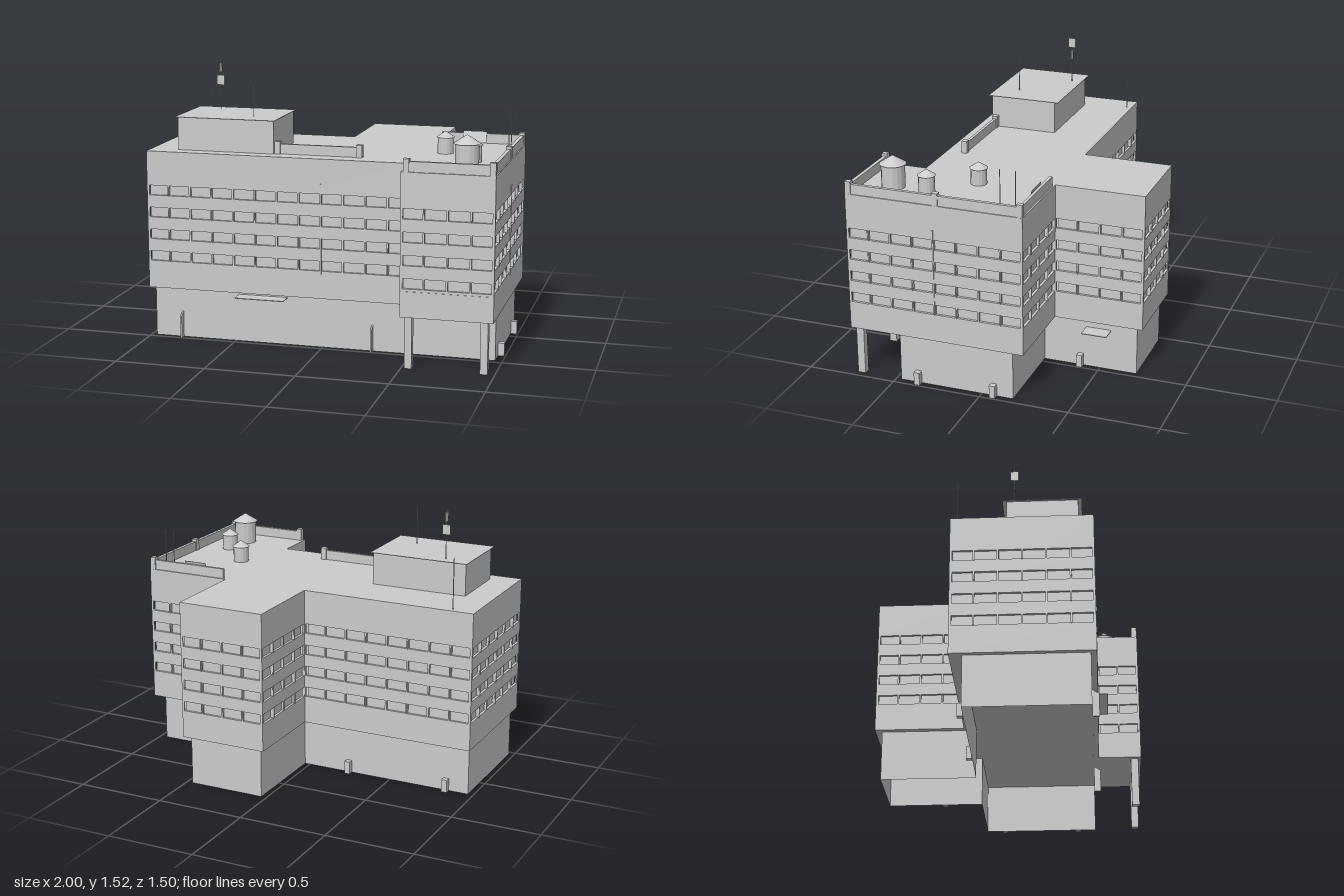
import * as THREE from 'three';

const grey = new THREE.MeshStandardMaterial({ color: 0xcccccc, flatShading: true, side: THREE.DoubleSide });

function add(parent, name, geo, x = 0, y = 0, z = 0) {
  const m = new THREE.Mesh(geo, grey);
  m.name = name;
  m.position.set(x, y, z);
  parent.add(m);
  return m;
}

// Box given by its extents on each axis
function box(parent, name, x0, x1, y0, y1, z0, z1) {
  return add(parent, name, new THREE.BoxGeometry(x1 - x0, y1 - y0, z1 - z0), (x0 + x1) / 2, (y0 + y1) / 2, (z0 + z1) / 2);
}

function group(parent, name) {
  const g = new THREE.Group();
  g.name = name;
  parent.add(g);
  return g;
}

// Frame with local x running along the wall from a to b and local z pointing outward
function wallFrame(parent, name, a, b) {
  const g = group(parent, name);
  g.position.set(a[0], 0, a[1]);
  g.rotation.y = Math.atan2(a[1] - b[1], b[0] - a[0]);
  return [g, Math.hypot(b[0] - a[0], b[1] - a[1])];
}

function eachWall(outline, fn) {
  outline.forEach((a, i) => fn(a, outline[(i + 1) % outline.length]));
}

function slab(parent, name, outline, y) {
  const shape = new THREE.Shape(outline.map(([x, z]) => new THREE.Vector2(x, -z)));
  add(parent, name, new THREE.ShapeGeometry(shape).rotateX(-Math.PI / 2), 0, y, 0);
}

const FLOOR = 0.283, ROOF = 1.057, DEPTH = 0.014;
const ROWS = [0.438, 0.562, 0.686, 0.81], WIN_H = 0.055;

// Wall pierced by four rows of recessed windows
function windowWall(parent, a, b) {
  const [g, len] = wallFrame(parent, 'windowWall', a, b);
  const n = Math.round(len / 0.125), step = len / n, gap = 0.005;
  const shape = new THREE.Shape([[0, FLOOR], [len, FLOOR], [len, ROOF], [0, ROOF]].map(p => new THREE.Vector2(...p)));
  for (const y of ROWS) {
    for (let i = 0; i < n; i++) {
      const l = i * step + gap, r = (i + 1) * step - gap;
      shape.holes.push(new THREE.Path([[l, y], [l, y + WIN_H], [r, y + WIN_H], [r, y]].map(p => new THREE.Vector2(...p))));
      if (i % 2) box(g, 'mullion', i * step - 0.003, i * step + 0.003, y - 0.003, y + WIN_H + 0.003, -DEPTH, 0.004);
    }
  }
  add(g, 'wallPanel', new THREE.ExtrudeGeometry(shape, { depth: DEPTH, bevelEnabled: false }), 0, 0, -DEPTH);
  const y0 = ROWS[0] - 0.01, y1 = ROWS[3] + WIN_H + 0.01;
  add(g, 'windowPanes', new THREE.PlaneGeometry(len - 2 * DEPTH, y1 - y0), len / 2, (y0 + y1) / 2, -DEPTH);
}

function waterTank(parent, x, z, r, eave, top) {
  const g = group(parent, 'waterTank');
  const h = eave - ROOF;
  add(g, 'tankBody', new THREE.CylinderGeometry(r, r, h, 16), x, ROOF + h / 2, z);
  add(g, 'tankRoof', new THREE.ConeGeometry(r * 1.15, top - eave, 16), x, (eave + top) / 2, z);
}

function antenna(parent, x, z, y0, y1) {
  add(parent, 'antenna', new THREE.CylinderGeometry(0.0025, 0.0025, y1 - y0, 6), x, (y0 + y1) / 2, z);
}

export function createModel() {
  const model = new THREE.Group();
  model.name = 'building';

  // Upper storeys
  const upper = group(model, 'upperStoreys');
  const outline = [[-0.997, 0.5], [0.495, 0.5], [0.495, 0.745], [0.992, 0.745], [0.992, -0.248],
    [0.495, -0.248], [0.495, -0.747], [-0.003, -0.747], [-0.003, -0.248], [-0.997, -0.248]];
  eachWall(outline, (a, b) => windowWall(upper, a, b));
  slab(upper, 'roof', outline, ROOF);
  slab(upper, 'underside', outline, FLOOR);
  box(upper, 'frontRib', -0.003, 0.003, 0.42, 0.92, 0.49, 0.505);
  box(upper, 'sideRib', 0.982, 0.997, 0.42, 0.92, 0.246, 0.254);
  box(upper, 'wingLedge', 0.495, 0.995, 0.42, 0.424, 0.74, 0.748);

  // Set-back ground floor, open underneath
  const ground = group(model, 'groundFloor');
  const base = [[-0.97, 0.47], [0.96, 0.47], [0.96, -0.178], [0.465, -0.178], [0.465, -0.71],
    [0.03, -0.71], [0.03, -0.18], [-0.97, -0.18]];
  eachWall(base, (a, b) => {
    const [g, len] = wallFrame(ground, 'groundWall', a, b);
    add(g, 'groundWallPanel', new THREE.PlaneGeometry(len, FLOOR), len / 2, FLOOR / 2, 0);
  });
  for (const x of [0.537, 0.942]) box(ground, 'column', x - 0.02, x + 0.02, 0, FLOOR, 0.685, 0.728);

  // Canopies and small entrance boxes
  box(ground, 'frontCanopy', -0.48, -0.2, 0.264, 0.268, 0.47, 0.552);
  box(ground, 'rearCanopy', 0.465, 0.555, 0.234, 0.238, -0.562, -0.42);
  for (const [x, z] of [[0.96, 0.365], [0.96, -0.07], [0.465, -0.39]])
    box(ground, 'sideBox', x, x + 0.034, 0, 0.072, z - 0.016, z + 0.016);
  for (const x of [-0.25, -0.84]) box(ground, 'rearBox', x - 0.016, x + 0.016, 0, 0.072, -0.212, -0.18);

  // Sloped-top fins by the front wall
  const fin = new THREE.Shape([[0, 0], [0.036, 0], [0.036, 0.125], [0, 0.147]].map(p => new THREE.Vector2(...p)));
  for (const x of [-0.812, 0.282])
    add(ground, 'frontFin', new THREE.ExtrudeGeometry(fin, { depth: 0.008, bevelEnabled: false })
      .rotateY(-Math.PI / 2), x + 0.004, 0, 0.47);

  // Penthouse with thin overhanging roof
  const roofTop = group(model, 'rooftop');
  box(roofTop, 'penthouse', -0.838, -0.288, ROOF, 1.24, 0.037, 0.42);
  box(roofTop, 'penthouseRoof', -0.85, -0.278, 1.24, 1.243, 0.015, 0.44);

  // Parapets and their posts
  box(roofTop, 'frontParapet', -0.27, 0.19, ROOF, 1.112, 0.386, 0.403);
  box(roofTop, 'wingFrontParapet', 0.52, 0.98, ROOF, 1.112, 0.716, 0.736);
  box(roofTop, 'sideParapet', 0.966, 0.986, ROOF, 1.112, -0.235, 0.73);
  box(roofTop, 'rearParapet', 0.515, 0.98, ROOF, 1.112, -0.24, -0.222);
  for (const [x, z] of [[-0.27, 0.395], [0.19, 0.395], [0.523, 0.728], [0.975, 0.728], [0.975, 0.235], [0.975, -0.23]])
    box(roofTop, 'parapetPost', x - 0.016, x + 0.016, ROOF, 1.126, z - 0.016, z + 0.016);
  const panel = box(roofTop, 'leaningPanel', 0.64, 0.775, 1.06, 1.126, -0.213, -0.21);
  panel.rotation.x = -0.25;

  // Water tanks
  waterTank(roofTop, 0.805, 0.55, 0.064, 1.187, 1.234);
  waterTank(roofTop, 0.805, 0.358, 0.044, 1.146, 1.18);
  waterTank(roofTop, 0.61, 0.142, 0.044, 1.146, 1.18);

  // Antennas, one carrying two signal panels
  antenna(roofTop, -0.87, -0.22, ROOF, 1.34);
  antenna(roofTop, -0.435, 0.308, 1.24, 1.463);
  antenna(roofTop, 0.92, -0.1, ROOF, 1.277);
  antenna(roofTop, 0.92, -0.185, ROOF, 1.277);
  antenna(roofTop, -0.705, 0.075, 1.24, 1.525);
  box(roofTop, 'signalPanel', -0.728, -0.682, 1.378, 1.434, 0.073, 0.077);
  box(roofTop, 'signalPanel', -0.707, -0.703, 1.45, 1.506, 0.053, 0.097);

  return model;
}
